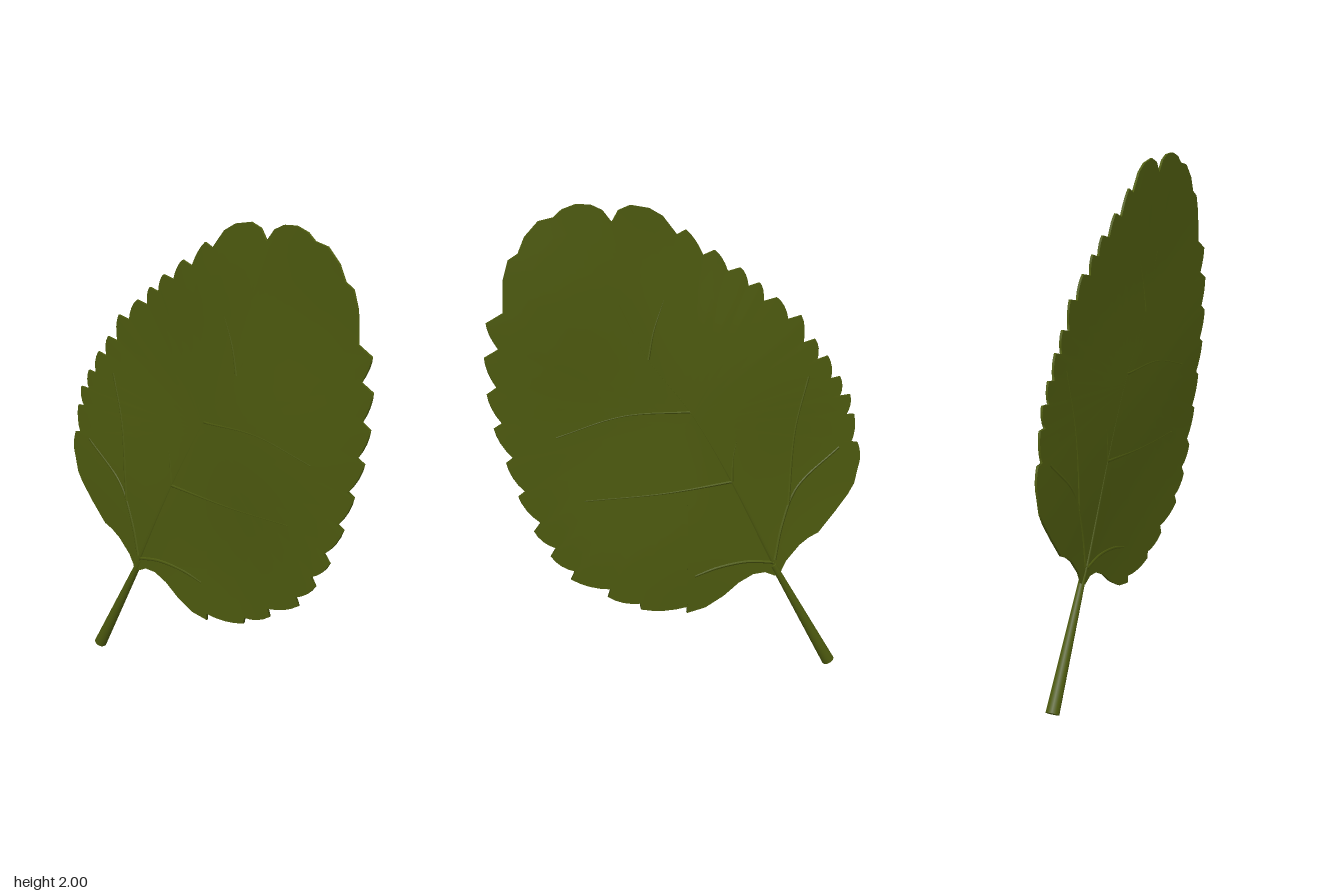
import * as THREE from 'three';

// Outline is sketched on a 188.75-units-per-world-unit sheet lying in the z/y plane
const S = 188.75;
const Z = (u) => (686.5 - u) / S;
const Y = (v) => (413.2 - v) / S;
const CENTRE = [690, 200];

// Gentle waviness of the blade
const wave = (u, v) => -0.007 + 0.004 * Math.sin(u / 31 + v / 60) + 0.003 * Math.sin(v / 27 - u / 70);

// Half thickness: r = 0 at the centre, 1 at the rim
const halfThick = (r) => 0.008 - 0.0035 * r * r;

// Toothed edge, counterclockwise seen from +x
function leafOutline() {
  const pts = [];
  const arc = (list) => pts.push(...list);
  // long convex side of a tooth, bulging outward from the centre
  const bulge = (to, amount) => {
    const a = pts[pts.length - 1];
    for (let i = 1; i <= 4; i++) {
      const t = i / 4;
      const u = a[0] + (to[0] - a[0]) * t, v = a[1] + (to[1] - a[1]) * t;
      const du = u - CENTRE[0], dv = v - CENTRE[1], l = Math.hypot(du, dv);
      const k = amount * 4 * t * (1 - t) / l;
      pts.push([u + du * k, v + dv * k]);
    }
  };
  // base lobe beside the stalk
  arc([[768, 331], [769, 327], [773, 320], [784, 309], [792, 304], [800, 301], [814, 286], [825, 273], [830, 265], [833, 252]]);
  // right teeth: tip, then the notch behind it
  const right = [[832, 232, 826, 232], [828, 209, 821, 209], [824, 193, 815, 194], [815, 178, 807, 179],
    [804, 161, 795, 163], [793, 147, 783, 149], [781, 128, 770, 130], [761, 113, 750, 115],
    [747, 101, 738, 103], [732, 89, 722, 91], [712, 75, 703, 78], [690, 59, 683, 62]];
  right.forEach(([a, b, c, d]) => { bulge([a, b], 2); pts.push([c, d]); });
  // rounded lobes at the tip
  arc([[672, 48], [662, 42], [648, 39], [639, 42], [634, 50], [627, 41], [619, 37], [608, 36], [598, 39], [592, 44],
    [581, 46], [571, 56], [566, 67], [559, 71], [555, 84], [554, 107]]);
  // left teeth: tip, then the notch below it
  const left = [[542, 113, 550, 132], [540, 137, 548, 159], [541, 163, 551, 185], [545, 188, 558, 211],
    [553, 214, 566, 237], [561, 240, 577, 262], [572, 268, 588, 283], [584, 289, 602, 303],
    [599, 309, 629, 321], [627, 327, 652, 336], [653, 341, 690, 345]];
  left.forEach(([a, b, c, d]) => { pts.push([a, b]); bulge([c, d], 2); });
  // second base lobe
  arc([[690, 350], [705, 348], [720, 341], [733, 332], [745, 327], [755, 327], [763, 331]]);
  return pts;
}

// One face of the blade as rings shrinking to the centre; side is +1 or -1 along x
function bladeSheet(outline, side) {
  const rings = 12, n = outline.length, pos = [], idx = [];
  for (let k = 0; k <= rings; k++) {
    const r = k / rings;
    for (const [pu, pv] of outline) {
      const u = CENTRE[0] + (pu - CENTRE[0]) * r, v = CENTRE[1] + (pv - CENTRE[1]) * r;
      pos.push(wave(u, v) + side * halfThick(r), Y(v), Z(u));
    }
  }
  for (let k = 0; k < rings; k++) for (let i = 0; i < n; i++) {
    const j = (i + 1) % n, a = k * n + i, b = k * n + j, c = a + n, d = b + n;
    const tris = k ? [a, c, d, a, d, b] : [a, c, d];
    idx.push(...(side > 0 ? tris : tris.reverse()));
  }
  return toGeometry(pos, idx);
}

// Narrow wall joining both faces
function bladeRim(outline) {
  const pos = [], idx = [], n = outline.length, h = halfThick(1);
  outline.forEach(([u, v]) => pos.push(wave(u, v) + h, Y(v), Z(u), wave(u, v) - h, Y(v), Z(u)));
  for (let i = 0; i < n; i++) {
    const a = 2 * i, b = 2 * ((i + 1) % n);
    idx.push(a, a + 1, b + 1, a, b + 1, b);
  }
  return toGeometry(pos, idx);
}

function toGeometry(pos, idx) {
  const g = new THREE.BufferGeometry();
  g.setAttribute('position', new THREE.Float32BufferAttribute(pos, 3));
  g.setIndex(idx);
  g.computeVertexNormals();
  return g;
}

export function createModel() {
  const model = new THREE.Group();
  model.name = 'leaf';
  const leafGreen = new THREE.MeshStandardMaterial({ color: 0x4e5b0f });
  leafGreen.name = 'leafGreen';
  const add = (name, geometry) => {
    const m = new THREE.Mesh(geometry, leafGreen);
    m.name = name;
    model.add(m);
    return m;
  };

  // Blade
  const outline = leafOutline();
  add('bladeLeftFace', bladeSheet(outline, 1));
  add('bladeRightFace', bladeSheet(outline, -1));
  add('bladeRim', bladeRim(outline));

  // Veins, barely raised on both faces
  const veins = [
    [[765, 327], [726, 250], [692, 192], [660, 150], [638, 108]],
    [[763, 318], [769, 290], [781, 262], [816, 234]],
    [[762, 320], [740, 316], [715, 317], [696, 321]],
    [[726, 250], [727, 230], [731, 212]],
    [[660, 150], [664, 130], [672, 108]],
    [[774, 275], [778, 215], [788, 175]],
    [[692, 192], [640, 190], [590, 200]],
    [[726, 250], [670, 252], [610, 250]],
  ];
  veins.forEach((path, i) => {
    const curve = new THREE.CatmullRomCurve3(path.map(([u, v]) => new THREE.Vector3(wave(u, v), Y(v), Z(u))));
    const g = new THREE.TubeGeometry(curve, 24, 0.008, 8);
    // press the tube to follow the wavy blade, fading toward its end
    const p = g.attributes.position;
    for (let k = 0; k < p.count; k++) {
      const u = 686.5 - p.getZ(k) * S, v = 413.2 - p.getY(k) * S;
      const t = Math.floor(k / 9) / 24;
      const c = curve.getPointAt(t);
      p.setX(k, wave(u, v) + (p.getX(k) - c.x) * (1.3 - 0.4 * t));
    }
    g.computeVertexNormals();
    add(i ? 'sideVein' + i : 'midrib', g);
  });

  // Stalk, widening to a cut end
  const top = new THREE.Vector3(-0.005, Y(322), Z(762));
  const end = new THREE.Vector3(-0.002, Y(410.3), Z(811.3));
  const dir = top.clone().sub(end);
  const stalk = add('stalk', new THREE.CylinderGeometry(0.012, 0.026, dir.length(), 20));
  stalk.position.copy(top).add(end).multiplyScalar(0.5);
  stalk.quaternion.setFromUnitVectors(new THREE.Vector3(0, 1, 0), dir.normalize());
  return model;
}
